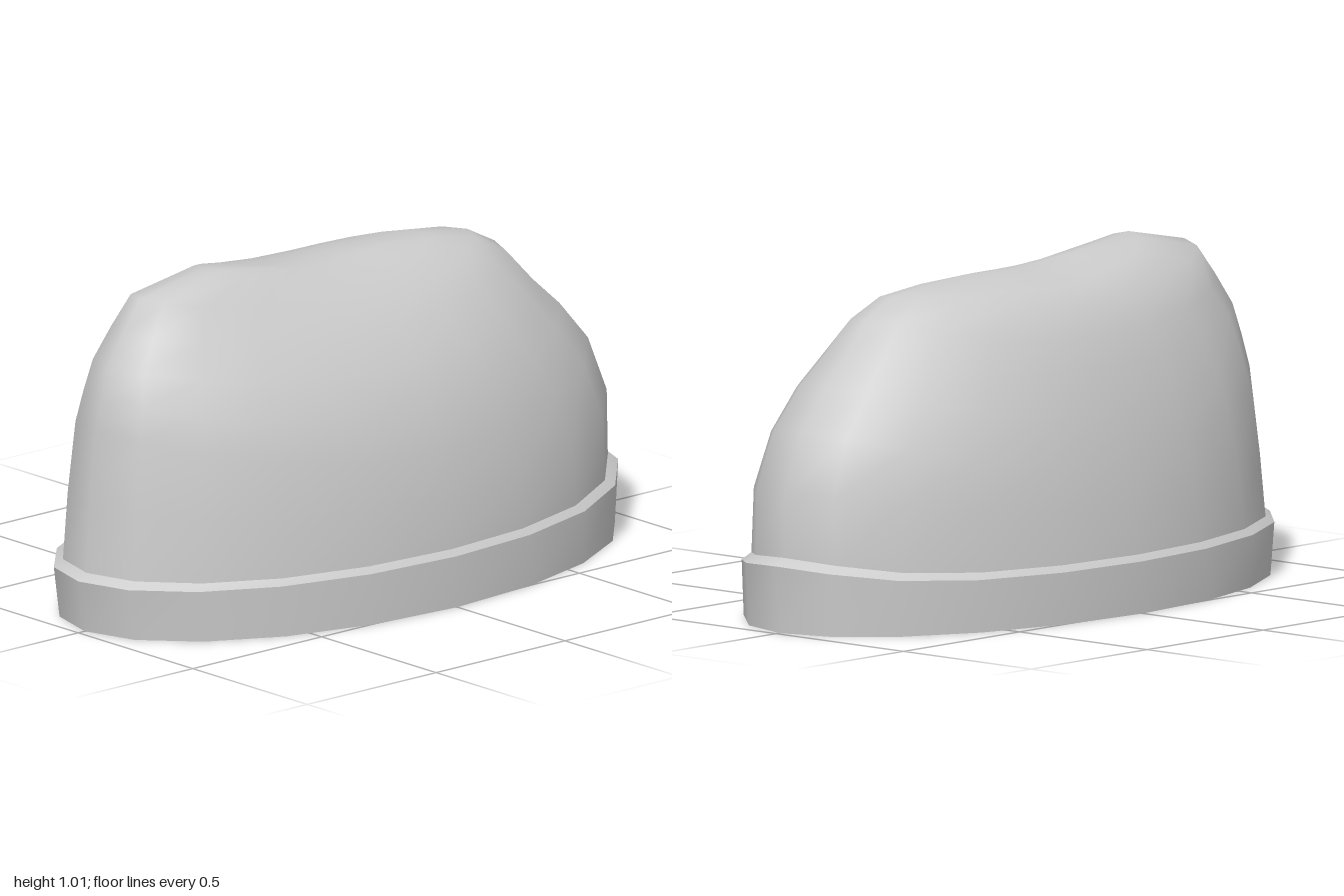
import * as THREE from 'three';
import { mergeVertices } from 'three/addons/utils/BufferGeometryUtils.js';

const SIDES = 20;

// One closed loop: [xLeft, yLeft, xRight, yRight, zFront, yFront, zBack, yBack, sharpness]
// Height blends from the sides to the two ends; sharpness keeps the rise near the ends.
function ringPoints([xl, yl, xr, yr, zf, yf, zb, yb, power = 2]) {
  const points = [];
  for (let i = 0; i < SIDES; i++) {
    const a = (i / SIDES) * Math.PI * 2;
    const c = Math.cos(a), s = Math.sin(a);
    const w = Math.pow(Math.abs(c), power);
    const ySide = s > 0 ? yf : yb;
    points.push(new THREE.Vector3(
      c > 0 ? c * xr : -c * xl,
      w * (c > 0 ? yr : yl) + (1 - w) * ySide,
      s > 0 ? s * zf : -s * zb));
  }
  return points;
}

// Skin a list of loops, optionally closed with an apex point
function loft(name, loops, apex) {
  const rows = loops.map(ringPoints);
  if (apex) rows.push(Array.from({ length: SIDES }, () => apex));
  const index = [];
  for (let r = 0; r < rows.length - 1; r++) {
    for (let i = 0; i < SIDES; i++) {
      const j = (i + 1) % SIDES;
      const a = r * SIDES + i, b = r * SIDES + j;
      const up = a + SIDES, upB = b + SIDES;
      index.push(a, up, b);
      if (!(apex && r === rows.length - 2)) index.push(b, up, upB);
    }
  }
  let geometry = new THREE.BufferGeometry().setFromPoints(rows.flat());
  geometry.setIndex(index);
  geometry = mergeVertices(geometry);
  geometry.computeVertexNormals();
  const mesh = new THREE.Mesh(geometry,
    new THREE.MeshStandardMaterial({ color: 0xcccccc, side: THREE.DoubleSide }));
  mesh.name = name;
  return mesh;
}

// Shrink a loop inward and slightly down for the lining
const inset = ([xl, yl, xr, yr, zf, yf, zb, yb, p], d, drop) =>
  [xl + d, yl - drop, xr - d, yr - drop, zf - d, yf - drop, zb + d, yb - drop, p];

export function createModel() {
  const group = new THREE.Group();
  group.name = 'knitCap';

  // Folded brim
  const brimBottom = [-0.975, 0, 0.985, 0, 0.53, 0, -0.53, 0, 6];
  const brimTop = [-1, 0.155, 1, 0.197, 0.525, 0.152, -0.525, 0.152, 6];
  const foot = [-0.968, 0.175, 0.963, 0.218, 0.506, 0.17, -0.506, 0.17, 6];

  // Crown: a soft bump over the left end, a long slope at the other
  const crown = [
    foot,
    [-0.955, 0.38, 0.963, 0.41, 0.49, 0.31, -0.485, 0.31],
    [-0.932, 0.60, 0.895, 0.58, 0.46, 0.45, -0.455, 0.45],
    [-0.91, 0.69, 0.79, 0.70, 0.42, 0.58, -0.417, 0.58],
    [-0.885, 0.78, 0.70, 0.78, 0.355, 0.70, -0.37, 0.70],
    [-0.825, 0.87, 0.615, 0.875, 0.275, 0.80, -0.325, 0.79],
    [-0.76, 0.96, 0.51, 0.93, 0.20, 0.87, -0.27, 0.87],
    [-0.52, 1.008, 0.35, 0.95, 0.12, 0.92, -0.20, 0.92],
    [-0.27, 0.97, 0.17, 0.957, 0.05, 0.95, -0.10, 0.95],
  ];

  group.add(
    loft('brim', [brimBottom, brimTop]),
    loft('brimLedge', [brimTop, foot]),
    loft('crown', crown, new THREE.Vector3(-0.03, 0.96, -0.02)));

  // Thin lining inside brim and crown
  const innerBottom = inset(brimBottom, 0.02, 0);
  const innerTop = inset(brimTop, 0.02, 0);
  const lining = crown.map((loop, i) => inset(loop, i < 7 ? 0.02 : 0.01, i ? 0.012 : 0));
  group.add(
    loft('brimHem', [innerBottom, brimBottom]),
    loft('brimLining', [innerTop, innerBottom]),
    loft('ledgeLining', [lining[0], innerTop]));
  const crownLining = loft('crownLining', lining, new THREE.Vector3(-0.03, 0.945, -0.02));
  // Turn the crown lining to face inward
  crownLining.geometry.index.array.reverse();
  crownLining.geometry.computeVertexNormals();
  group.add(crownLining);

  return group;
}
